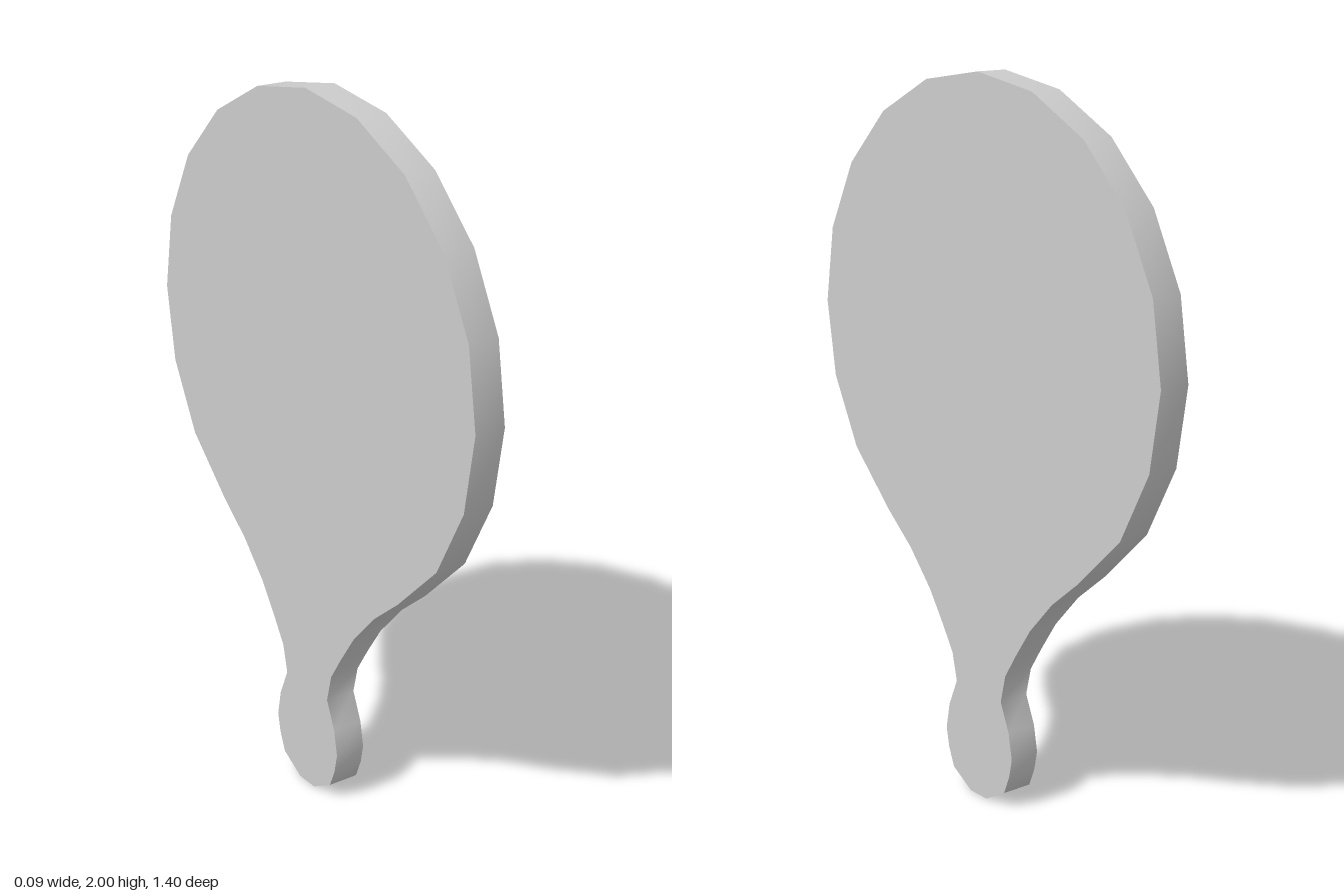
import * as THREE from 'three';
import { toCreasedNormals } from 'three/addons/utils/BufferGeometryUtils.js';

const THICKNESS = 0.09;
const HEAD_RADIUS = 0.702;
const HEAD_CENTRE = 1.3;

export function createModel() {
  const half = [];

  // Round head: from the crown down to the start of the neck, in 18 degree steps
  for (let i = 0; i <= 7; i++) {
    const a = (i * Math.PI) / 10;
    half.push([HEAD_RADIUS * Math.sin(a), HEAD_CENTRE + (2 - HEAD_CENTRE) * Math.cos(a)]);
  }

  // Flared neck, pinched waist and rounded grip
  half.push(
    [0.412, 0.735], [0.31, 0.65], [0.22, 0.55], [0.16, 0.46], [0.117, 0.39],
    [0.098, 0.31], [0.132, 0.23], [0.146, 0.155], [0.135, 0.1], [0.113, 0.045], [0.035, 0],
  );

  // Mirror the half outline, leaving out the crown point
  const mirrored = half.slice(1).reverse().map(([x, y]) => [-x, y]);
  const outline = [...half, ...mirrored].map(([x, y]) => new THREE.Vector2(x, y));

  // Flat slab, turned so its broad faces point along x
  const slab = new THREE.ExtrudeGeometry(new THREE.Shape(outline), {
    depth: THICKNESS,
    bevelEnabled: false,
  });
  slab.translate(0, 0, -THICKNESS / 2);
  slab.rotateY(-Math.PI / 2);

  // Smooth rim, sharp edges around the broad faces
  const paddle = new THREE.Mesh(
    toCreasedNormals(slab, Math.PI / 3),
    new THREE.MeshStandardMaterial({ color: 0xcccccc }),
  );
  paddle.name = 'paddle';

  const group = new THREE.Group();
  group.name = 'paddleModel';
  group.add(paddle);
  return group;
}
